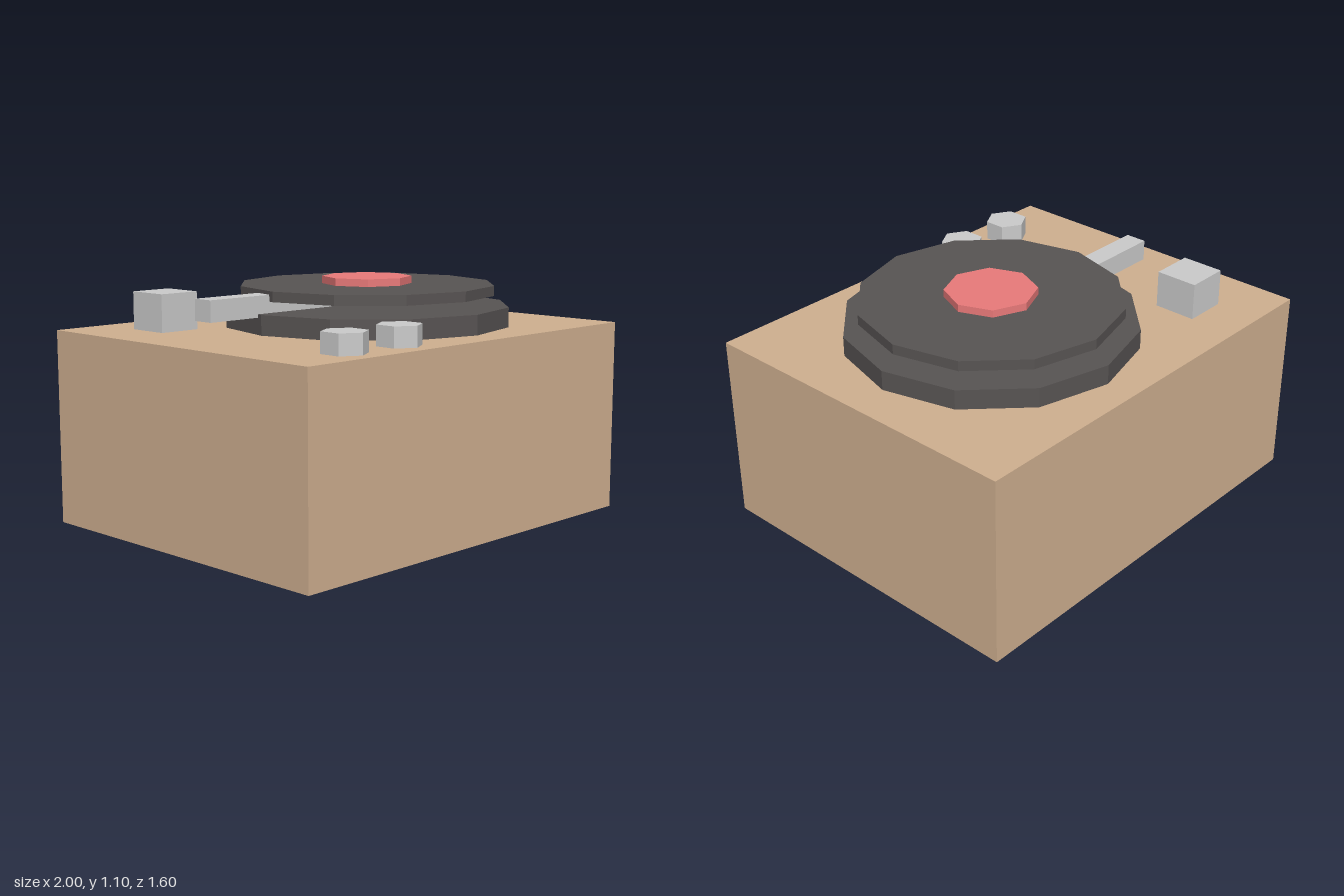
import * as THREE from 'three';

const mat = (color) => new THREE.MeshStandardMaterial({ color, flatShading: true });

export function createModel() {
  const model = new THREE.Group();
  const wood = mat(0xd0b090), dark = mat(0x585453), red = mat(0xea7a7a), grey = mat(0xcccccc);

  const add = (name, geometry, material, x, y, z) => {
    const mesh = new THREE.Mesh(geometry, material);
    mesh.name = name;
    mesh.position.set(x, y, z);
    model.add(mesh);
  };
  // Box given by its min and max corners
  const box = (name, material, [x0, y0, z0], [x1, y1, z1]) =>
    add(name, new THREE.BoxGeometry(x1 - x0, y1 - y0, z1 - z0), material,
      (x0 + x1) / 2, (y0 + y1) / 2, (z0 + z1) / 2);
  // Upright prism between two heights
  const disc = (name, material, radius, sides, x, z, y0, y1) =>
    add(name, new THREE.CylinderGeometry(radius, radius, y1 - y0, sides), material, x, (y0 + y1) / 2, z);

  const deck = 0.88, cx = 0.16;

  // Cabinet
  box('cabinet', wood, [-1, 0, -0.8], [1, deck, 0.8]);

  // Turntable stack
  disc('platter', dark, 0.66, 12, cx, 0, deck, 0.97);
  disc('spindle', grey, 0.046, 6, cx, 0, 0.96, 1.08);
  disc('record', dark, 0.592, 12, cx, 0, 1.02, 1.066);
  disc('recordLabel', red, 0.206, 8, cx, 0, 1.066, 1.1);

  // Arm, its rest block and the pickup under the record
  box('armBase', grey, [-0.74, deck, -0.58], [-0.54, 1.05, -0.38]);
  box('arm', grey, [-0.76, 0.955, -0.13], [-0.04, 1.05, -0.03]);
  box('pickup', grey, [-0.01, 0.94, -0.115], [0.085, 0.993, -0.045]);

  // Control knobs
  for (const x of [-0.64, -0.32]) disc('knob', grey, 0.1, 6, x, 0.64, deck, 0.97);

  return model;
}
